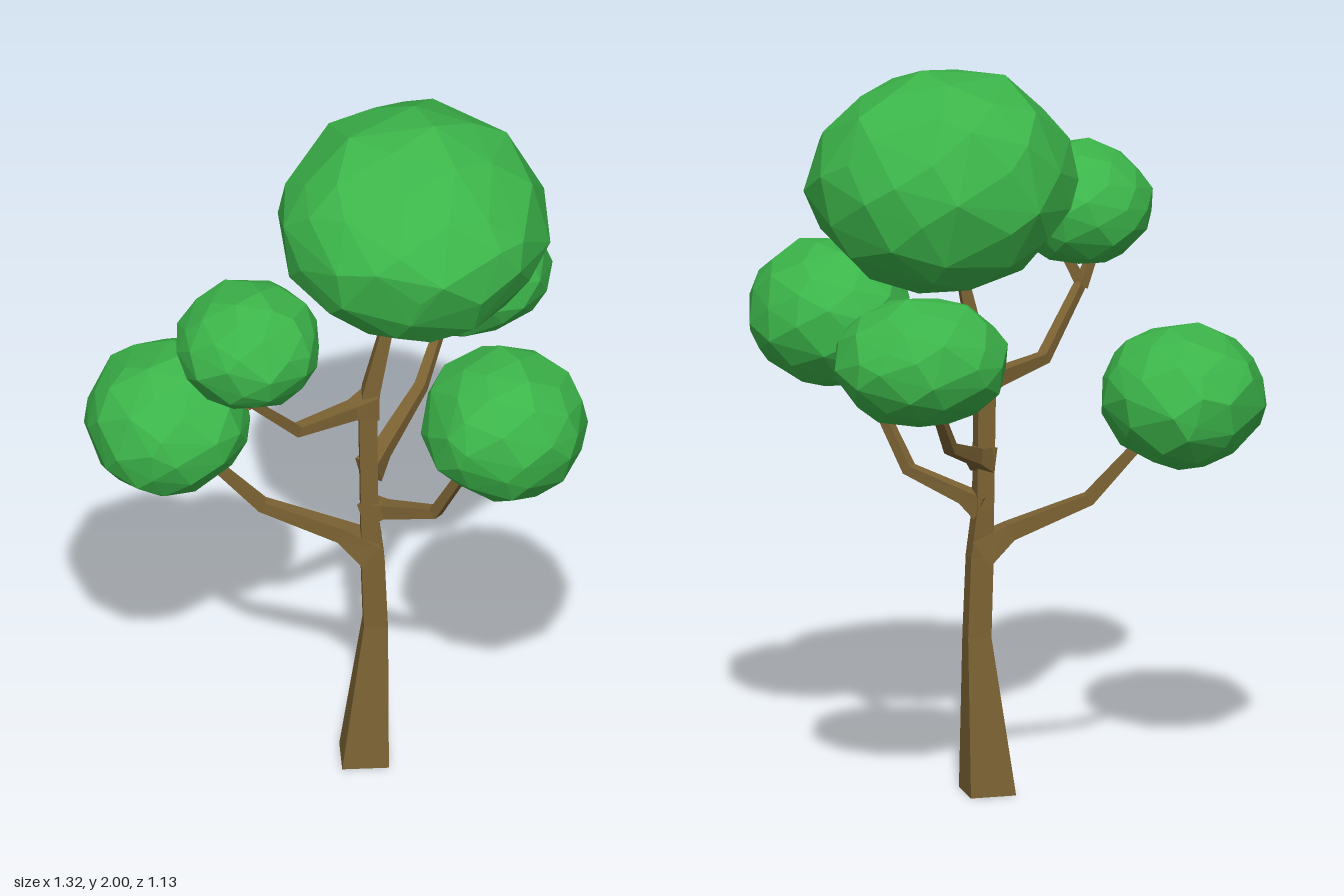
import * as THREE from 'three';
import { ConvexGeometry } from 'three/addons/geometries/ConvexGeometry.js';

const bark = new THREE.MeshStandardMaterial({ color: 0x7b6233, flatShading: true });
const leaf = new THREE.MeshStandardMaterial({ color: 0x3cb54a, flatShading: true });

function seeded(seed) {
  let s = seed;
  return () => (s = (s * 16807) % 2147483647) / 2147483647;
}

// Square-section limb through points [x, y, z, half width, half depth]
function limb(name, path, upright = false) {
  const pts = path.map(p => new THREE.Vector3(p[0], p[1], p[2]));
  const ref = upright ? new THREE.Vector3(0, 0, 1) : new THREE.Vector3(0, 1, 0);
  const last = path.length - 1;
  const pos = [], index = [];
  path.forEach((p, i) => {
    const t = upright ? new THREE.Vector3(0, 1, 0)
      : pts[Math.min(i + 1, last)].clone().sub(pts[Math.max(i - 1, 0)]).normalize();
    const side = t.clone().cross(ref).normalize();
    const up = side.clone().cross(t);
    for (const [a, b] of [[1, 1], [-1, 1], [-1, -1], [1, -1]]) {
      const v = pts[i].clone().addScaledVector(side, a * p[3]).addScaledVector(up, b * (p[4] ?? p[3]));
      pos.push(v.x, v.y, v.z);
    }
  });
  for (let i = 0; i < last; i++) {
    for (let k = 0; k < 4; k++) {
      const a = i * 4 + k, b = i * 4 + (k + 1) % 4;
      index.push(a, a + 4, b + 4, a, b + 4, b);
    }
  }
  const e = last * 4;
  index.push(0, 1, 2, 0, 2, 3, e, e + 2, e + 1, e, e + 3, e + 2);
  const indexed = new THREE.BufferGeometry();
  indexed.setAttribute('position', new THREE.Float32BufferAttribute(pos, 3));
  indexed.setIndex(index);
  const geo = indexed.toNonIndexed();
  geo.computeVertexNormals();
  const mesh = new THREE.Mesh(geo, bark);
  mesh.name = name;
  return mesh;
}

// Faceted leaf clump: hull of jittered sphere points, fitted to a box
function clump(name, min, max, count, seed, slope = 0) {
  const rnd = seeded(seed);
  const pts = [];
  for (let i = 0; i < count; i++) {
    const y = 1 - 2 * (i + 0.5) / count;
    const a = i * 2.39996 + (rnd() - 0.5) * 0.35;
    const r = Math.sqrt(1 - y * y);
    const v = new THREE.Vector3(Math.cos(a) * r, y + (rnd() - 0.5) * 0.1, Math.sin(a) * r);
    v.normalize().multiplyScalar(0.97 + rnd() * 0.06);
    // the upper front can slope forward
    if (v.y > 0 && v.z > 0) v.y *= 1 - slope * v.z;
    pts.push(v);
  }
  const geo = new ConvexGeometry(pts);
  geo.computeBoundingBox();
  const size = geo.boundingBox.getSize(new THREE.Vector3());
  const mid = geo.boundingBox.getCenter(new THREE.Vector3());
  const lo = new THREE.Vector3(...min), hi = new THREE.Vector3(...max);
  geo.translate(-mid.x, -mid.y, -mid.z);
  geo.scale(...hi.clone().sub(lo).divide(size).toArray());
  geo.computeVertexNormals();
  const mesh = new THREE.Mesh(geo, leaf);
  mesh.position.copy(lo.add(hi).multiplyScalar(0.5));
  mesh.name = name;
  return mesh;
}

export function createModel() {
  const tree = new THREE.Group();
  tree.name = 'tree';

  // Trunk, wide at the foot and leaning at the top
  tree.add(limb('trunk', [
    [0.078, 0, 0.043, 0.062], [0.108, 0.43, 0.04, 0.032, 0.03],
    [0.1, 0.65, 0.041, 0.031, 0.028], [0.092, 0.78, 0.037, 0.023, 0.028],
    [0.088, 1.1, 0.035, 0.024, 0.026], [0.098, 1.18, 0.035, 0.023, 0.022],
    [0.15, 1.42, 0.033, 0.014], [0.165, 1.5, 0.033, 0.012],
  ], true));

  // Branches
  tree.add(
    limb('lowerRightBranch', [
      [0.1, 0.66, 0.04, 0.04], [0.02, 0.715, 0.03, 0.023], [-0.19, 0.795, 0.005, 0.016],
      [-0.31, 0.92, 0, 0.012], [-0.4, 1.02, -0.01, 0.01],
    ]),
    limb('upperRightBranch', [
      [0.1, 1.13, 0.035, 0.036], [0.045, 1.13, 0.065, 0.021], [-0.11, 1.145, 0.17, 0.015],
      [-0.245, 1.32, 0.28, 0.012],
    ]),
    limb('upperRightForkOuter', [[-0.24, 1.305, 0.275, 0.014], [-0.285, 1.41, 0.29, 0.01]]),
    limb('upperRightForkInner', [[-0.245, 1.305, 0.275, 0.013], [-0.2, 1.4, 0.3, 0.01]]),
    limb('frontLeftBranch', [
      [0.09, 0.785, 0.035, 0.034], [0.135, 0.81, 0.07, 0.02], [0.26, 0.865, 0.17, 0.015],
      [0.345, 1.08, 0.265, 0.012], [0.38, 1.17, 0.3, 0.01],
    ]),
    limb('backLeftBranch', [
      [0.09, 0.915, 0.035, 0.034], [0.13, 0.94, -0.02, 0.021], [0.245, 1.015, -0.2, 0.015],
      [0.305, 1.14, -0.3, 0.012], [0.33, 1.2, -0.33, 0.01],
    ]),
  );

  // Foliage
  tree.add(
    clump('crownFoliage', [-0.145, 1.4, -0.33], [0.57, 2, 0.378], 76, 11, 0.35),
    clump('frontLeftFoliage', [0.21, 1.07, 0.105], [0.655, 1.46, 0.565], 66, 23),
    clump('backLeftFoliage', [0.13, 1.13, -0.57], [0.605, 1.475, -0.125], 66, 37),
    clump('lowerRightFoliage', [-0.66, 0.875, -0.277], [-0.22, 1.26, 0.22], 66, 41),
    clump('upperRightFoliage', [-0.44, 1.365, 0.115], [-0.06, 1.69, 0.51], 66, 59),
  );
  return tree;
}
